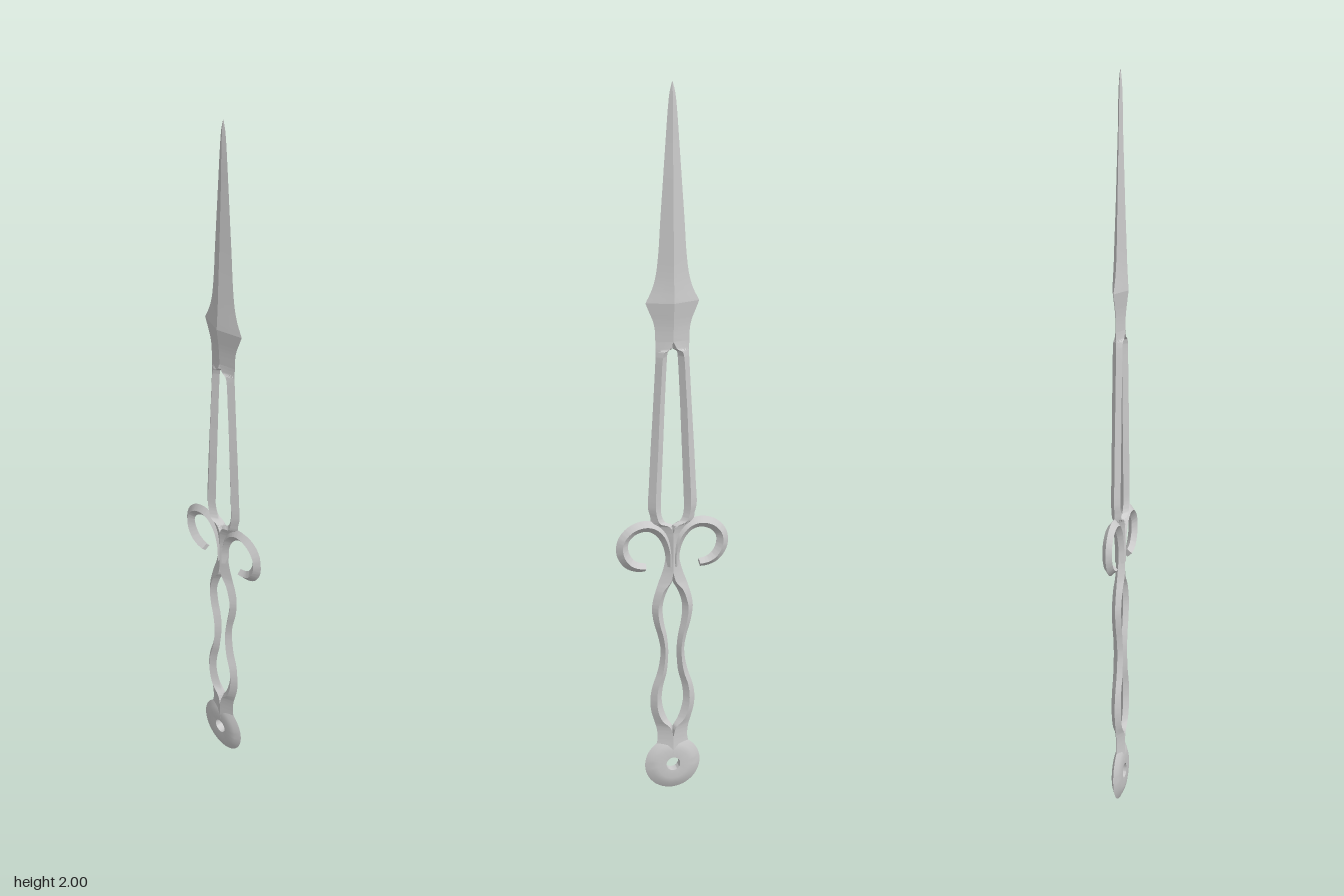
import * as THREE from 'three';
import { toCreasedNormals } from 'three/addons/utils/BufferGeometryUtils.js';

const material = new THREE.MeshStandardMaterial({ color: 0xcccccc, side: THREE.DoubleSide });

// Skins a list of four-cornered cross-sections and caps both ends.
function loft(sections, flip) {
  const pos = sections.flat().flatMap((p) => [p.x, p.y, p.z]);
  const index = [];
  const tri = (a, b, c) => index.push(a, flip ? c : b, flip ? b : c);
  const n = sections.length;
  for (let j = 0; j < n - 1; j++) {
    for (let k = 0; k < 4; k++) {
      const a = j * 4 + k, b = j * 4 + ((k + 1) % 4);
      tri(a, a + 4, b);
      tri(b, a + 4, b + 4);
    }
  }
  const e = (n - 1) * 4;
  tri(0, 1, 2); tri(0, 2, 3);
  tri(e, e + 2, e + 1); tri(e, e + 3, e + 2);
  const geo = new THREE.BufferGeometry();
  geo.setAttribute('position', new THREE.Float32BufferAttribute(pos, 3));
  geo.setIndex(index);
  return toCreasedNormals(geo, 0.42);
}

// One half (side = +1 or -1) of an upright ridged piece.
// Rows run upward: [y, inner edge, ridge, outer edge, half thickness].
function ridgedHalf(rows, side) {
  const edges = new THREE.CatmullRomCurve3(rows.map((r) => new THREE.Vector3(r[0], r[1], r[3])), false, 'catmullrom');
  const ridges = new THREE.CatmullRomCurve3(rows.map((r) => new THREE.Vector3(r[0], r[2], r[4])), false, 'catmullrom');
  const steps = (rows.length - 1) * 6;
  const sections = [];
  for (let i = 0; i <= steps; i++) {
    const e = edges.getPoint(i / steps), r = ridges.getPoint(i / steps);
    const inner = Math.max(0, e.y), ridge = Math.max(inner, r.y);
    sections.push([
      new THREE.Vector3(0, e.x, side * inner),
      new THREE.Vector3(r.z, e.x, side * ridge),
      new THREE.Vector3(0, e.x, side * e.z),
      new THREE.Vector3(-r.z, e.x, side * ridge),
    ]);
  }
  return loft(sections, side < 0);
}

// Diamond-section strip swept along points [z, y, half width].
function scroll(points, side) {
  const curve = new THREE.CatmullRomCurve3(points.map(([z, y, w]) => new THREE.Vector3(w, y, z)));
  const steps = 64;
  const sections = [];
  for (let i = 0; i <= steps; i++) {
    const p = curve.getPoint(i / steps), t = curve.getTangent(i / steps);
    const len = Math.hypot(t.y, t.z);
    const ny = (-t.z / len) * p.x, nz = (t.y / len) * p.x;
    sections.push([
      new THREE.Vector3(0, p.y - ny, side * (p.z - nz)),
      new THREE.Vector3(0.013, p.y, side * p.z),
      new THREE.Vector3(0, p.y + ny, side * (p.z + nz)),
      new THREE.Vector3(-0.013, p.y, side * p.z),
    ]);
  }
  return loft(sections, side < 0);
}

const T = 0.013;

const pieces = {
  // wavy grip with a double-bellied slot
  grip: [
    [0.11, 0, 0, 0.062, T], [0.14, 0, 0, 0.048, T], [0.165, 0, 0, 0.043, T], [0.195, 0, 0.008, 0.046, T],
    [0.22, 0.014, 0.031, 0.053, T], [0.25, 0.025, 0.043, 0.061, T], [0.285, 0.031, 0.047, 0.064, T],
    [0.325, 0.027, 0.043, 0.058, T], [0.365, 0.017, 0.031, 0.045, T], [0.4, 0.013, 0.025, 0.037, T],
    [0.44, 0.012, 0.023, 0.034, T], [0.48, 0.016, 0.028, 0.041, T], [0.52, 0.024, 0.038, 0.052, T],
    [0.56, 0.028, 0.043, 0.058, T], [0.59, 0.024, 0.038, 0.055, T], [0.62, 0.013, 0.027, 0.047, T],
    [0.645, 0, 0.008, 0.039, T], [0.675, 0, 0, 0.028, T], [0.71, 0, 0, 0.02, T], [0.74, 0, 0, 0.019, T],
  ],
  // long slotted frame between guard and blade
  frame: [
    [0.74, 0, 0, 0.019, T], [0.765, 0, 0, 0.024, T], [0.79, 0, 0, 0.038, T], [0.81, 0, 0.012, 0.055, T],
    [0.82, 0.02, 0.036, 0.06, T], [0.84, 0.03, 0.045, 0.062, T], [0.87, 0.032, 0.049, 0.068, T],
    [0.93, 0.03, 0.047, 0.065, T], [1.03, 0.026, 0.042, 0.06, T], [1.13, 0.022, 0.038, 0.054, T],
    [1.22, 0.018, 0.033, 0.049, T], [1.275, 0.015, 0.03, 0.046, T], [1.3, 0.012, 0.025, 0.045, T],
    [1.31, 0, 0.01, 0.045, T], [1.33, 0, 0, 0.046, T],
  ],
  // flare from frame out to the blade's widest point
  shoulder: [
    [1.33, 0, 0, 0.046, T], [1.36, 0, 0, 0.047, 0.014], [1.385, 0, 0, 0.052, 0.016],
    [1.41, 0, 0, 0.062, 0.019], [1.435, 0, 0, 0.072, 0.022],
  ],
  // slender ridged blade
  blade: [
    [1.435, 0, 0, 0.072, 0.022], [1.47, 0, 0, 0.055, 0.02], [1.51, 0, 0, 0.044, 0.018],
    [1.57, 0, 0, 0.037, 0.016], [1.65, 0, 0, 0.032, 0.013], [1.75, 0, 0, 0.025, 0.01],
    [1.85, 0, 0, 0.018, 0.007], [1.92, 0, 0, 0.013, 0.006], [1.97, 0, 0, 0.008, 0.004], [2, 0, 0, 0.001, 0.001],
  ],
};

// curled guard arm, from the stem outward to its tip
const armPath = [
  [0.008, 0.69, 0.011], [0.01, 0.735, 0.012], [0.024, 0.779, 0.015], [0.05, 0.806, 0.016], [0.08, 0.813, 0.016],
  [0.114, 0.802, 0.016], [0.137, 0.775, 0.016], [0.139, 0.74, 0.017], [0.122, 0.709, 0.016],
  [0.1, 0.696, 0.014], [0.076, 0.692, 0.012],
];

export function createModel() {
  const group = new THREE.Group();
  const add = (name, geometry) => {
    const mesh = new THREE.Mesh(geometry, material);
    mesh.name = name;
    group.add(mesh);
    return mesh;
  };

  for (const side of [1, -1]) {
    const suffix = side > 0 ? 'Front' : 'Back';
    for (const [name, rows] of Object.entries(pieces)) add(name + suffix, ridgedHalf(rows, side));
    add('guardScroll' + suffix, scroll(armPath, side));
  }

  // round pommel with a bevelled rim and a small hole
  const profile = [[0.02, -0.012], [0.045, -T], [0.062, -0.009], [0.08, 0], [0.062, 0.009], [0.045, T], [0.02, 0.012], [0.02, -0.012]]
    .map(([r, x]) => new THREE.Vector2(r, x));
  const pommel = add('pommel', toCreasedNormals(new THREE.LatheGeometry(profile, 48), 0.42));
  pommel.rotation.z = Math.PI / 2;
  pommel.position.y = 0.08;

  return group;
}
